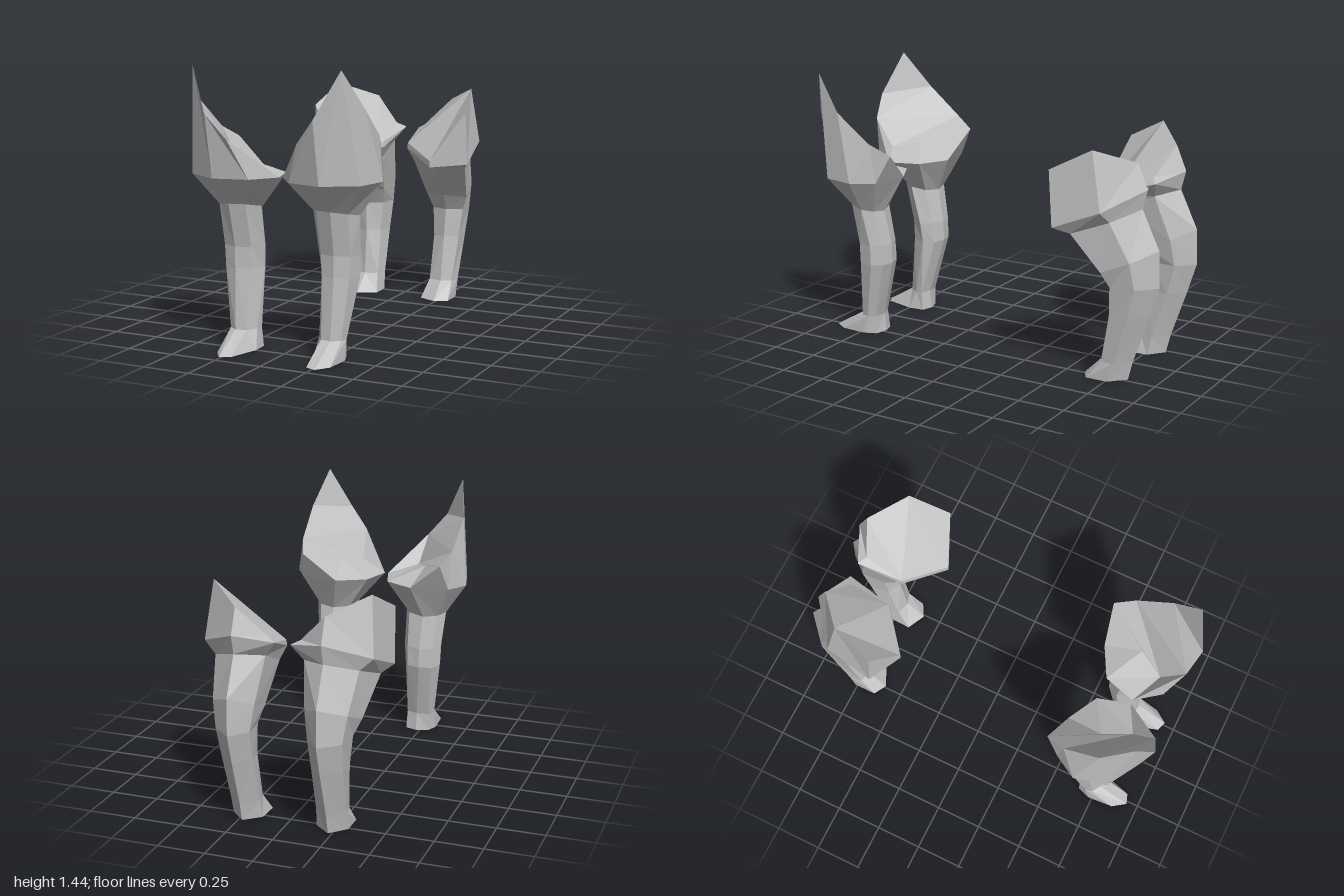
import * as THREE from 'three';

// Rings run foot to shoulder; each ring goes front -> outer -> back -> inner as [x, y, z].
const flat = (y, pts) => pts.map(([x, z]) => [x, y, z]);

const frontRings = [
  flat(0, [[0.265, 0.94], [0.315, 0.87], [0.325, 0.73], [0.3, 0.66], [0.23, 0.64], [0.165, 0.66], [0.16, 0.75], [0.21, 0.92]]),
  flat(0.1, [[0.265, 0.77], [0.31, 0.74], [0.32, 0.7], [0.3, 0.66], [0.23, 0.65], [0.17, 0.67], [0.175, 0.71], [0.21, 0.76]]),
  flat(0.41, [[0.275, 0.75], [0.345, 0.72], [0.365, 0.64], [0.33, 0.585], [0.26, 0.57], [0.19, 0.59], [0.16, 0.65], [0.2, 0.73]]),
  flat(0.52, [[0.275, 0.75], [0.35, 0.72], [0.368, 0.64], [0.335, 0.59], [0.26, 0.575], [0.185, 0.6], [0.15, 0.66], [0.195, 0.73]]),
  [[0.28, 0.745, 0.8], [0.355, 0.735, 0.76], [0.385, 0.72, 0.68], [0.35, 0.71, 0.625], [0.27, 0.7, 0.61], [0.18, 0.71, 0.64], [0.145, 0.73, 0.71], [0.195, 0.745, 0.78]],
  flat(0.89, [[0.29, 0.94], [0.46, 0.84], [0.5, 0.67], [0.43, 0.55], [0.22, 0.515], [0.06, 0.6], [0.01, 0.77], [0.11, 0.9]]),
  [[0.29, 1.21, 1.0], [0.4, 1.44, 0.92], [0.45, 1.25, 0.77], [0.44, 1.1, 0.58], [0.4, 1.04, 0.475], [0.25, 0.97, 0.71], [0.17, 0.94, 0.85], [0.19, 1.09, 0.97]],
];

const rearRings = [
  flat(0, [[0.24, -0.6], [0.31, -0.64], [0.31, -0.76], [0.23, -0.84], [0.145, -0.77], [0.14, -0.65]]),
  flat(0.1, [[0.24, -0.7], [0.3, -0.72], [0.31, -0.79], [0.23, -0.865], [0.15, -0.79], [0.165, -0.72]]),
  flat(0.35, [[0.245, -0.735], [0.32, -0.77], [0.32, -0.87], [0.23, -0.95], [0.155, -0.87], [0.17, -0.77]]),
  flat(0.51, [[0.25, -0.745], [0.34, -0.78], [0.33, -0.91], [0.23, -1], [0.15, -0.91], [0.16, -0.78]]),
  [[0.26, 0.6, -0.69], [0.375, 0.59, -0.745], [0.35, 0.65, -0.89], [0.23, 0.7, -0.995], [0.13, 0.65, -0.89], [0.135, 0.6, -0.74]],
  [[0.27, 0.78, -0.53], [0.42, 0.78, -0.6], [0.375, 0.85, -0.79], [0.23, 0.9, -0.9], [0.1, 0.88, -0.81], [0.1, 0.8, -0.63]],
  [[0.28, 0.795, -0.43], [0.465, 0.81, -0.52], [0.44, 0.91, -0.77], [0.23, 1.0, -0.925], [0.04, 0.96, -0.84], [0.07, 0.87, -0.6]],
  [[0.28, 0.83, -0.43], [0.46, 1.1, -0.5], [0.41, 1.21, -0.71], [0.23, 1.13, -0.87], [0.085, 0.98, -0.81], [0.075, 0.9, -0.6]],
];

// Loft the rings, fill the sole and close the top with a strip folded across the leg.
function legGeometry(rings, side) {
  const out = [];
  const quad = (...c) => {
    for (const tri of [[c[0], c[1], c[2]], [c[0], c[2], c[3]]]) {
      if (side < 0) tri.reverse();
      for (const [x, y, z] of tri) out.push(x * side, y, z);
    }
  };
  const n = rings[0].length;
  for (let j = 0; j < rings.length - 1; j++) {
    for (let i = 0; i < n; i++) {
      const k = (i + 1) % n;
      quad(rings[j][i], rings[j][k], rings[j + 1][k], rings[j + 1][i]);
    }
  }
  const sole = rings[0], top = rings[rings.length - 1];
  for (let i = 0; i < n / 2 - 1; i++) {
    const a = (n - i) % n, b = i + 1, c = i + 2, d = n - 1 - i;
    quad(top[a], top[b], top[c], top[d]);
    quad(sole[d], sole[c], sole[b], sole[a]);
  }
  const geo = new THREE.BufferGeometry();
  geo.setAttribute('position', new THREE.Float32BufferAttribute(out, 3));
  geo.computeVertexNormals();
  return geo;
}

export function createModel() {
  const group = new THREE.Group();
  group.name = 'fourLegs';
  const grey = new THREE.MeshStandardMaterial({ color: 0xc0c0c0, flatShading: true });
  grey.name = 'light grey';

  for (const [label, rings] of [['front', frontRings], ['rear', rearRings]]) {
    for (const side of [1, -1]) {
      const leg = new THREE.Mesh(legGeometry(rings, side), grey);
      leg.name = label + (side > 0 ? 'LeftLeg' : 'RightLeg');
      group.add(leg);
    }
  }
  return group;
}
